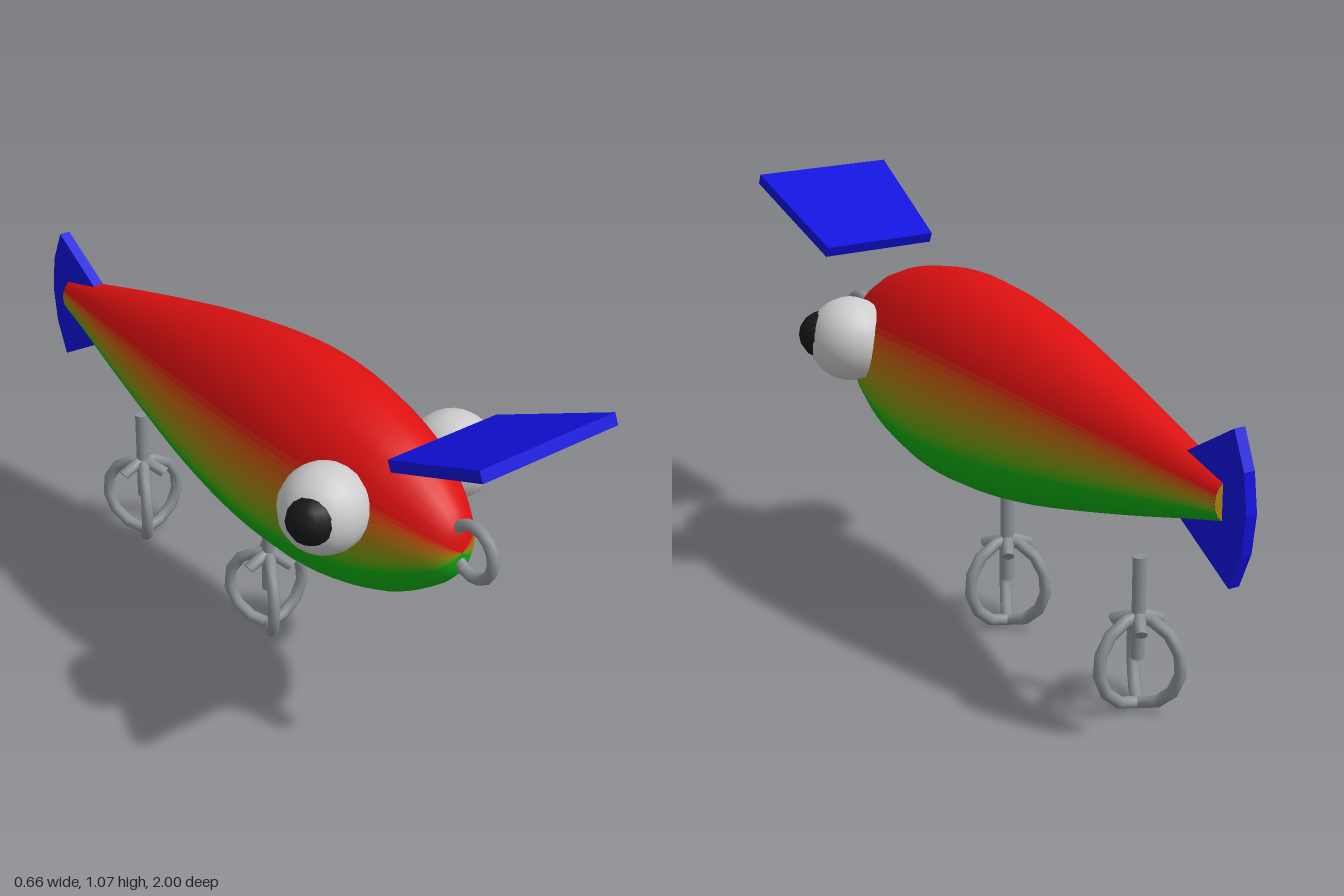
import * as THREE from 'three';

const paint = (color) => new THREE.MeshStandardMaterial({ color });
const RED = new THREE.Color(0xdd1010);
const GREEN = new THREE.Color(0x10b010);
const BODY_Y = 0.645;
const WIDTH_RATIO = 0.74;

function addMesh(parent, name, geometry, material, x = 0, y = 0, z = 0) {
  const mesh = new THREE.Mesh(geometry, material);
  mesh.name = name;
  mesh.position.set(x, y, z);
  parent.add(mesh);
  return mesh;
}

// Fish-shaped lathe lying along z, divided lengthwise into colour bands
function createBody() {
  const body = new THREE.Group();
  body.name = 'body';
  const profile = new THREE.SplineCurve([
    [0.05, -0.915], [0.08, -0.8], [0.137, -0.6], [0.19, -0.4], [0.238, -0.2],
    [0.272, 0], [0.284, 0.17], [0.27, 0.34], [0.228, 0.5], [0.178, 0.6],
    [0.115, 0.685], [0.06, 0.73], [0, 0.742],
  ].map(([r, z]) => new THREE.Vector2(r, z))).getPoints(36);
  profile.forEach((p) => { p.x = Math.max(p.x, 0); });

  // Angles are measured from the belly (0) to the back (180 degrees)
  const band = (name, from, to, segments, color) => {
    const geometry = new THREE.LatheGeometry(profile, segments,
      THREE.MathUtils.degToRad(from), THREE.MathUtils.degToRad(to - from));
    geometry.rotateX(Math.PI / 2).scale(WIDTH_RATIO, 1, 1);
    addMesh(body, name, geometry, paint(color), 0, BODY_Y, 0);
  };
  const start = 63, end = 117, steps = 14;
  band('belly', -start, start, 8, GREEN);
  band('back', end, 360 - end, 8, RED);
  for (let i = 0; i < steps; i++) {
    const a = start + (end - start) * i / steps;
    const b = start + (end - start) * (i + 1) / steps;
    const color = GREEN.clone().lerp(RED, (i + 0.5) / steps);
    band('leftFlankBand', a, b, 1, color);
    band('rightFlankBand', 360 - b, 360 - a, 1, color);
  }

  // Flat end of the body
  const cap = new THREE.CircleGeometry(0.05, 16).rotateY(Math.PI).scale(WIDTH_RATIO, 1, 1);
  addMesh(body, 'bodyEnd', cap, paint(GREEN.clone().lerp(RED, 0.5)), 0, BODY_Y, -0.915);
  return body;
}

// Treble hook: a shank with three open rings spread around it
function createHook(name, z, steel) {
  const hook = new THREE.Group();
  hook.name = name;
  hook.position.z = z;
  addMesh(hook, 'shank', new THREE.CylinderGeometry(0.018, 0.018, 0.265, 10), steel, 0, 0.268, 0);
  const arc = Math.PI * 1.2;
  for (let i = 0; i < 3; i++) {
    const prong = new THREE.Group();
    prong.name = 'prong';
    prong.position.y = 0.131;
    prong.rotation.y = i * Math.PI * 2 / 3;
    const bend = new THREE.TorusGeometry(0.115, 0.016, 8, 8, arc).rotateZ(-Math.PI / 2);
    addMesh(prong, 'bend', bend, steel);
    // Discs close both ends of the bend
    for (const [angle, turn] of [[-Math.PI / 2, Math.PI / 2], [arc - Math.PI / 2, -Math.PI / 2]]) {
      const disc = new THREE.CircleGeometry(0.016, 8).rotateX(turn).rotateZ(angle);
      addMesh(prong, 'bendEnd', disc, steel, 0.115 * Math.cos(angle), 0.115 * Math.sin(angle), 0);
    }
    hook.add(prong);
  }
  return hook;
}

export function createModel() {
  const model = new THREE.Group();
  model.name = 'fishingLure';
  const blue = paint(0x1010dd);
  const steel = paint(0x8c9096);
  const white = paint(0xdddddd);
  const black = paint(0x15181a);

  model.add(createBody());

  // Eyes with pupils turned slightly forward
  for (const side of [1, -1]) {
    const prefix = side > 0 ? 'left' : 'right';
    addMesh(model, prefix + 'Eye', new THREE.SphereGeometry(0.113, 16, 12), white, side * 0.2, 0.712, 0.475);
    addMesh(model, prefix + 'Pupil', new THREE.SphereGeometry(0.064, 12, 8), black, side * 0.264, 0.724, 0.51);
  }

  // Diving lip: a tilted plate that widens towards the front
  const lipGeometry = new THREE.BoxGeometry(1, 0.03, 0.365);
  const corners = lipGeometry.attributes.position;
  for (let i = 0; i < corners.count; i++) {
    corners.setX(i, corners.getX(i) * (corners.getZ(i) > 0 ? 0.4 : 0.33));
  }
  lipGeometry.computeVertexNormals();
  const lip = addMesh(model, 'divingLip', lipGeometry, blue, 0, 0.98, 0.828);
  lip.rotation.x = -0.42;

  // Tail fin: a thin circular sector opening backwards
  const spread = 0.54;
  const fan = new THREE.Shape();
  fan.moveTo(0, 0);
  for (let i = 0; i <= 4; i++) {
    const a = -spread + spread * i / 2;
    fan.lineTo(0.37 * Math.cos(a), 0.37 * Math.sin(a));
  }
  fan.closePath();
  const finGeometry = new THREE.ExtrudeGeometry(fan, { depth: 0.03, bevelEnabled: false });
  finGeometry.translate(0, 0, -0.015).rotateY(Math.PI / 2);
  addMesh(model, 'tailFin', finGeometry, blue, 0, 0.637, -0.63);

  // Line tie ring at the nose
  const ring = new THREE.TorusGeometry(0.068, 0.015, 8, 16).rotateY(Math.PI / 2);
  addMesh(model, 'noseRing', ring, steel, 0, 0.667, 0.778);

  model.add(createHook('bellyHook', 0, steel));
  model.add(createHook('rearHook', -0.59, steel));
  return model;
}
